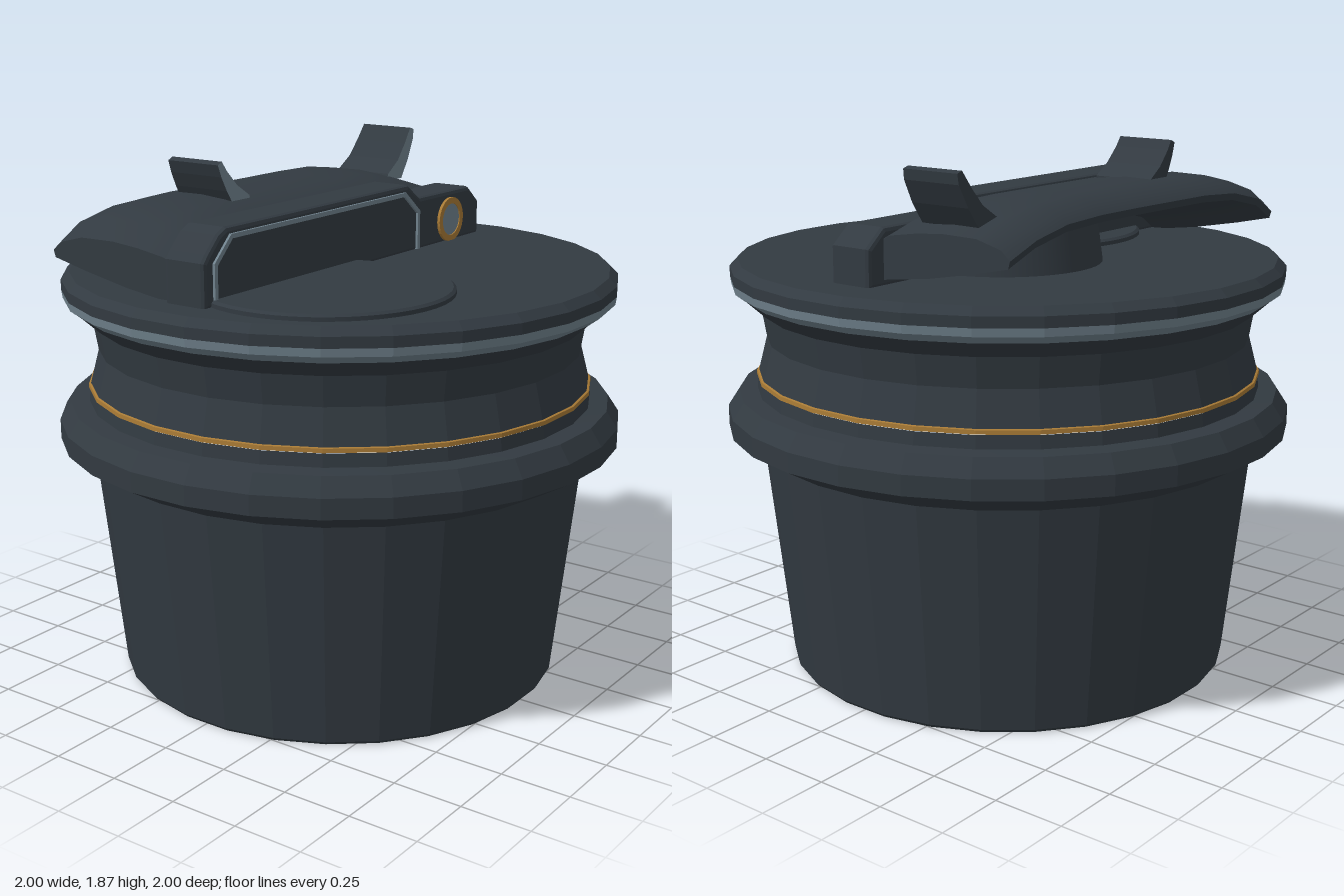
import * as THREE from 'three';
import { toCreasedNormals } from 'three/addons/utils/BufferGeometryUtils.js';

const SIDES = 28;

function mat(name, color) {
  const m = new THREE.MeshStandardMaterial({ color });
  m.name = name;
  return m;
}

export function createModel() {
  const dark = mat('charcoal', 0x323a41);
  const light = mat('steelGrey', 0x70828d);
  const gold = mat('brass', 0xa87a35);
  const root = new THREE.Group();
  root.name = 'lidded cup';

  const add = (name, geometry, material, x = 0, y = 0, z = 0) => {
    const mesh = new THREE.Mesh(geometry, material);
    mesh.name = name;
    mesh.position.set(x, y, z);
    root.add(mesh);
    return mesh;
  };
  const points = (list) => list.map(([a, b]) => new THREE.Vector2(a, b));

  // Faceted ring or shell turned from [radius, height] pairs, bottom to top
  const turned = (profile) => {
    const k = 1 / Math.cos(Math.PI / SIDES);
    const pts = points(profile.map(([r, y]) => [r * k, y]));
    return toCreasedNormals(new THREE.LatheGeometry(pts, SIDES, Math.PI / SIDES), 0.1);
  };

  // Outline in x and y, filled from z0 to z1
  const slab = (outline, z0, z1, bevel = 0) => {
    const g = new THREE.ExtrudeGeometry(new THREE.Shape(points(outline)), {
      depth: z1 - z0 - 2 * bevel, bevelEnabled: bevel > 0, bevelThickness: bevel,
      bevelSize: bevel, bevelOffset: -bevel, bevelSegments: 2,
    });
    return g.translate(0, 0, z0 + bevel);
  };

  // Cup, collar and neck
  add('cup', turned([[0, 0], [0.785, 0], [0.795, 0.012], [0.88, 0.81]]), dark);
  add('collar', turned([[0.88, 0.81], [1, 0.88], [1, 0.95], [0.96, 1.01], [0.895, 1.015], [0.89, 1.06]]), dark);
  add('neckBand', turned([[0.885, 1.06], [0.896, 1.063], [0.895, 1.077], [0.885, 1.08]]), gold);
  add('neck', turned([[0.888, 1.078], [0.856, 1.2], [0.873, 1.305], [0.935, 1.362]]), dark);

  // Lid with a pale lower rim
  add('lidRim', turned([[0.935, 1.362], [0.972, 1.39], [0.976, 1.418]]), light);
  add('lid', turned([[0.976, 1.418], [0.976, 1.455], [0.947, 1.482], [0, 1.482]]), dark);

  // Round cover lying on the lid
  const cover = new THREE.LatheGeometry(
    points([[0.43, 0], [0.43, 0.016], [0.42, 0.024], [0, 0.024]]), 48);
  add('drinkCover', toCreasedNormals(cover, 0.5), dark, -0.41, 1.48, 0.235);

  // Front plate of the latch
  add('latchPlate', slab([
    [-0.845, 1.475], [-0.845, 1.625], [-0.825, 1.65], [-0.77, 1.705], [-0.73, 1.725],
    [0.31, 1.725], [0.39, 1.67], [0.73, 1.668], [0.805, 1.605], [0.805, 1.475],
  ], -0.08, 0.085, 0.015), dark);

  // Pale trim along the plate
  add('latchTrim', slab([
    [-0.803, 1.483], [-0.803, 1.62], [-0.718, 1.703], [0.28, 1.703], [0.375, 1.625], [0.375, 1.483],
    [0.36, 1.483], [0.36, 1.617], [0.274, 1.688], [-0.711, 1.688], [-0.788, 1.612], [-0.788, 1.483],
  ], 0.08, 0.094), light);

  // Button with a brass bezel
  const bezel = new THREE.Shape().absarc(0, 0, 0.083, 0, Math.PI * 2);
  bezel.holes.push(new THREE.Path().absarc(0, 0, 0.06, 0, Math.PI * 2, true));
  add('buttonBezel', new THREE.ExtrudeGeometry(bezel, { depth: 0.016, bevelEnabled: false, curveSegments: 16 }),
    gold, 0.59, 1.562, 0.08);
  const button = new THREE.CylinderGeometry(0.062, 0.062, 0.012, 16).rotateX(Math.PI / 2);
  add('button', button, light, 0.59, 1.562, 0.086);

  // Lever behind the plate, lofted along x and drooping at both ends
  const section = [
    [-0.04, 1.69], [-0.1, 1.72], [-0.2, 1.737], [-0.3, 1.747], [-0.43, 1.745], [-0.52, 1.72],
    [-0.552, 1.69], [-0.545, 1.665], [-0.42, 1.635], [-0.25, 1.6], [-0.04, 1.57],
  ];
  // Stations: x, droop, extra reach of the back edge
  const stations = [
    [-0.815, 0.1, 0.045], [-0.73, 0.045, 0.037], [-0.58, 0.01, 0.025], [-0.4, 0, 0.014], [0, 0, 0],
    [0.2, 0, 0], [0.4, 0.006, 0.01], [0.58, 0.032, 0.025], [0.735, 0.075, 0.042],
  ];
  const pos = [];
  const index = [];
  const n = section.length;
  stations.forEach(([x, droop, reach], i) => {
    section.forEach(([z, y], j) => {
      pos.push(x, y - droop, z + reach * (z / 0.55));
      if (i < stations.length - 1) {
        const a = i * n + j, c = i * n + (j + 1) % n;
        index.push(a, a + n, c, c, a + n, c + n);
      }
    });
  });
  const last = (stations.length - 1) * n;
  for (let j = 1; j < n - 1; j++) {
    index.push(0, j, j + 1, last, last + j + 1, last + j);
  }
  const lever = new THREE.BufferGeometry();
  lever.setAttribute('position', new THREE.Float32BufferAttribute(pos, 3));
  lever.setIndex(index);
  add('lever', toCreasedNormals(lever, 0.6), dark);

  // Rounded foot under the lever
  add('leverFoot', new THREE.CylinderGeometry(0.33, 0.35, 0.15, 24, 1, false, Math.PI / 2, Math.PI),
    dark, 0.12, 1.555, -0.07);

  // Curved finger tabs with pale front faces
  const tabs = {
    rightTab: [
      [-0.37, 1.72], [-0.4, 1.77], [-0.425, 1.82], [-0.44, 1.862], [-0.418, 1.872],
      [-0.395, 1.838], [-0.345, 1.785], [-0.28, 1.742], [-0.28, 1.72],
    ],
    leftTab: [
      [0.56, 1.69], [0.57, 1.712], [0.64, 1.757], [0.69, 1.815], [0.732, 1.872],
      [0.755, 1.865], [0.75, 1.83], [0.71, 1.755], [0.66, 1.685],
    ],
  };
  for (const [name, outline] of Object.entries(tabs)) {
    const g = slab(outline, -0.415, -0.18);
    // Narrow the tab towards its tip
    const p = g.attributes.position;
    for (let i = 0; i < p.count; i++) {
      const t = Math.max(0, (p.getY(i) - 1.7) / 0.17);
      p.setZ(i, -0.297 + (p.getZ(i) + 0.297) * (1 - 0.07 * t));
    }
    g.computeVertexNormals();
    // Extrude group 0 holds both end caps; its second half faces forward
    const [caps, sides] = g.groups.map((q) => ({ ...q }));
    g.clearGroups();
    g.addGroup(0, caps.count / 2, 0);
    g.addGroup(caps.count / 2, caps.count / 2, 1);
    g.addGroup(sides.start, sides.count, 0);
    add(name, g, [dark, light]);
  }

  return root;
}
